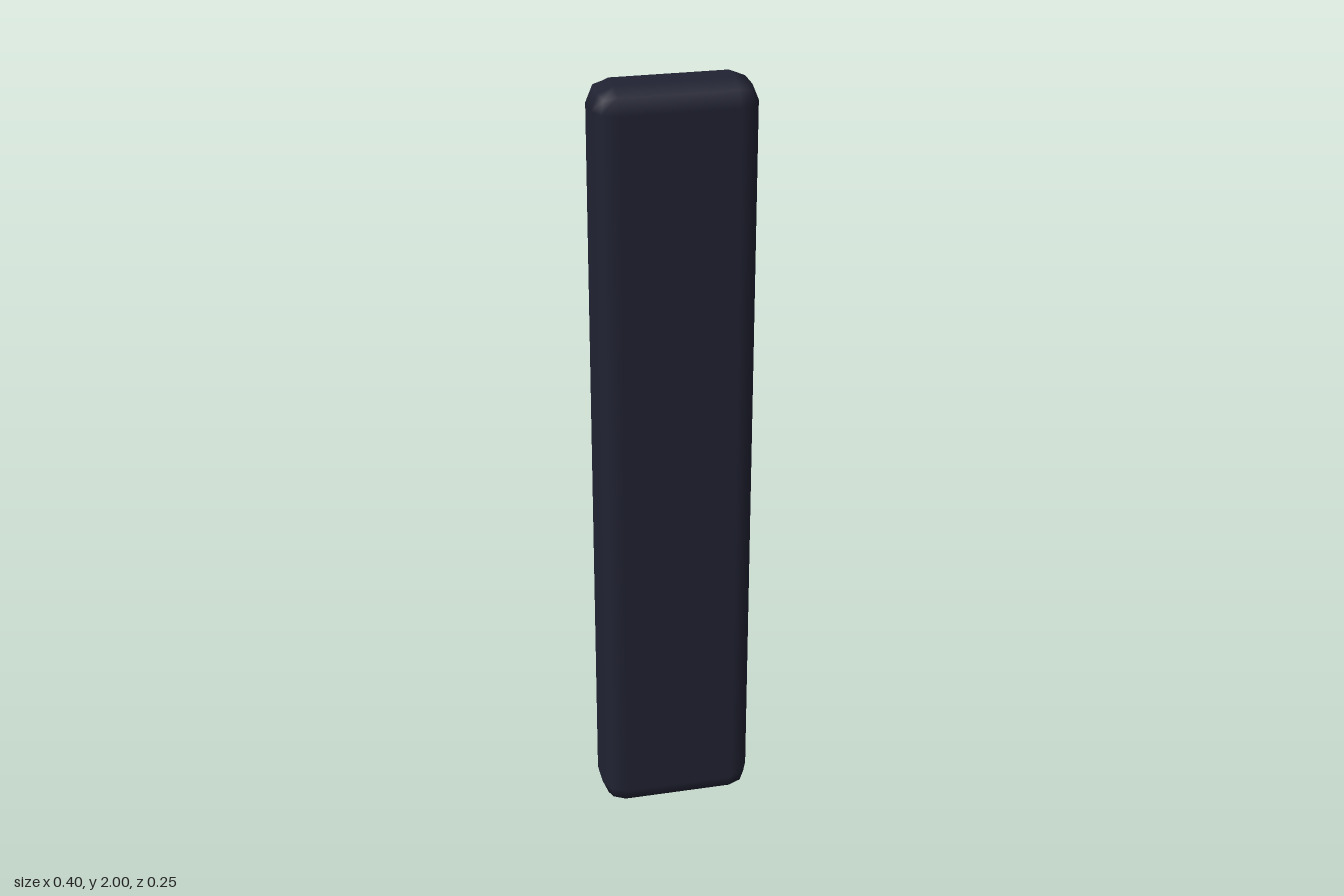
import * as THREE from 'three';
import { RoundedBoxGeometry } from 'three/addons/geometries/RoundedBoxGeometry.js';

const dark = new THREE.MeshStandardMaterial({ color: 0x212333 });
const slate = new THREE.MeshStandardMaterial({ color: 0x5a5f78 });
const amber = new THREE.MeshStandardMaterial({ color: 0xff9933 });

// Box with a single 45-degree step in each rounded edge, placed by its front and back z
function roundedPart(name, material, width, height, back, front, radius, y) {
  const geometry = new RoundedBoxGeometry(width, height, front - back, 1, radius);
  const mesh = new THREE.Mesh(geometry, material);
  mesh.name = name;
  mesh.position.set(0, y, (front + back) / 2);
  return mesh;
}

export function createModel() {
  const group = new THREE.Group();
  group.name = 'wallLight';

  // Main housing
  group.add(roundedPart('housing', dark, 0.4, 2, -0.057, 0.123, 0.056, 1));

  // Frame and glowing panel stacked on the back, each sunk into the part below
  group.add(roundedPart('panelFrame', slate, 0.24, 1.725, -0.078, 0, 0.035, 1.005));
  group.add(roundedPart('lightPanel', amber, 0.17, 1.64, -0.1, -0.025, 0.035, 1.005));

  // Guard bars across the panel
  for (const y of [0.503, 1.005, 1.505]) {
    group.add(roundedPart('guardBar', dark, 0.24, 0.062, -0.125, -0.077, 0.018, y));
  }

  return group;
}
